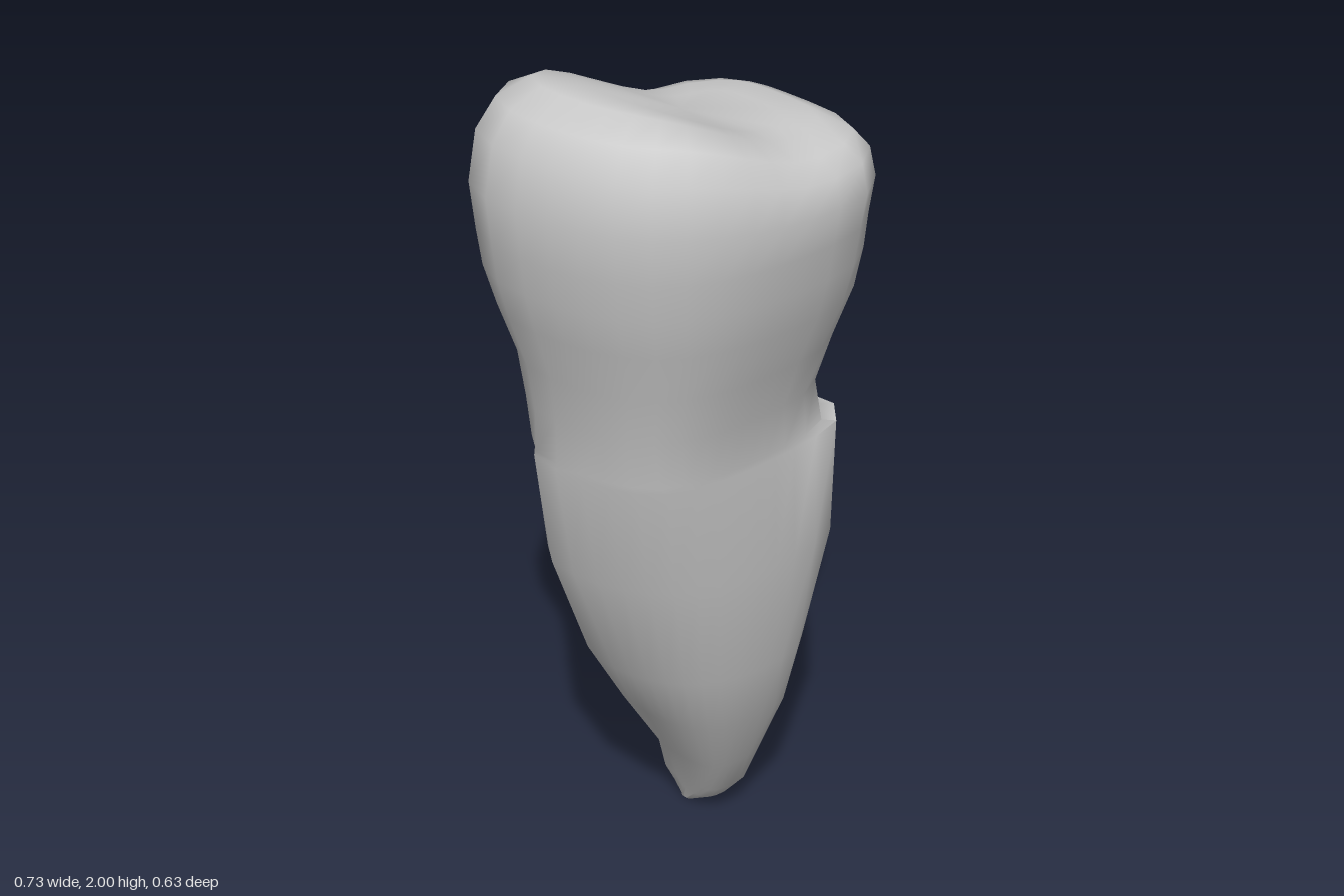
import * as THREE from 'three';
import { toCreasedNormals } from 'three/addons/utils/BufferGeometryUtils.js';

const SIDES = 28;
const { smoothstep } = THREE.MathUtils;

// Rounded outline inside a box, with its two (x - z) diagonal corners trimmed.
function outline([y, x0, x1, z0, z1, dMin, dMax]) {
  const cx = (x0 + x1) / 2, cz = (z0 + z1) / 2, p = 4.5, s = Math.SQRT1_2;
  const hx = (x1 - x0) / 2, hz = (z1 - z0) / 2;
  const dHi = Math.max((dMax - cx + cz) * s, 0.01), dLo = Math.max((cx - cz - dMin) * s, 0.01);
  const points = [];
  for (let i = 0; i < SIDES; i++) {
    const a = (i / SIDES) * Math.PI * 2, c = Math.cos(a), n = Math.sin(a), d = (c - n) * s;
    const sum = Math.abs(c / hx) ** p + Math.abs(n / hz) ** p + Math.abs(d / (d > 0 ? dHi : dLo)) ** p;
    const r = sum ** (-1 / p);
    points.push(new THREE.Vector3(r * c, y, r * n));
  }
  // Stretch back to the exact box
  const xs = points.map(q => q.x), zs = points.map(q => q.z);
  const px = hx / Math.max(...xs), nx = -hx / Math.min(...xs);
  const pz = hz / Math.max(...zs), nz = -hz / Math.min(...zs);
  points.forEach(q => {
    q.x = cx + q.x * (q.x > 0 ? px : nx);
    q.z = cz + q.z * (q.z > 0 ? pz : nz);
  });
  return points;
}

// Closed skin through outlines ordered from bottom to top.
function loft(rows, bend) {
  const rings = rows.map(outline), pos = [], index = [];
  const add = q => { bend?.(q); pos.push(q.x, q.y, q.z); };
  const middle = ring => ring.reduce((m, q) => m.add(q), new THREE.Vector3()).divideScalar(SIDES);
  const bottom = middle(rings[0]), top = middle(rings.at(-1));
  rings.flat().forEach(add);
  add(bottom);
  add(top);
  const count = rings.length * SIDES, last = count - SIDES;
  for (let j = 0; j < SIDES; j++) {
    const k = (j + 1) % SIDES;
    for (let i = 0; i < last; i += SIDES) {
      index.push(i + j, i + SIDES + j, i + k, i + k, i + SIDES + j, i + SIDES + k);
    }
    index.push(count, j, k, count + 1, last + k, last + j);
  }
  const geometry = new THREE.BufferGeometry();
  geometry.setAttribute('position', new THREE.Float32BufferAttribute(pos, 3));
  geometry.setIndex(index);
  return toCreasedNormals(geometry, 1.1);
}

export function createModel() {
  const group = new THREE.Group();
  group.name = 'tooth';
  const material = new THREE.MeshStandardMaterial({ color: 0xcccccc, side: THREE.DoubleSide });

  // Each row: y, x min, x max, z min, z max, (x - z) min, (x - z) max
  const rootRows = [
    [0.00, 0.28, 0.31, -0.29, -0.26, 0.53, 0.61],
    [0.05, 0.26, 0.345, -0.305, -0.18, 0.45, 0.63],
    [0.10, 0.235, 0.362, -0.314, -0.14, 0.38, 0.62],
    [0.22, 0.18, 0.352, -0.285, -0.08, 0.28, 0.57],
    [0.42, 0.05, 0.337, -0.28, 0.02, 0.10, 0.50],
    [0.60, -0.06, 0.337, -0.275, 0.08, -0.01, 0.47],
    [0.90, -0.18, 0.36, -0.272, 0.14, -0.17, 0.46],
    [1.18, -0.235, 0.35, -0.25, 0.16, -0.30, 0.38]
  ];
  // Neck above the chipped ledge, then the crown with its rounded rim
  const crownRows = [
    [1.195, -0.235, 0.30, -0.25, 0.16, -0.30, 0.37],
    [1.31, -0.255, 0.25, -0.235, 0.185, -0.33, 0.29],
    [1.42, -0.28, 0.26, -0.23, 0.22, -0.37, 0.24],
    [1.53, -0.315, 0.28, -0.25, 0.26, -0.42, 0.23],
    [1.62, -0.34, 0.287, -0.265, 0.285, -0.46, 0.36],
    [1.70, -0.352, 0.288, -0.27, 0.30, -0.48, 0.55],
    [1.80, -0.365, 0.29, -0.272, 0.315, -0.51, 0.68],
    [1.90, -0.345, 0.285, -0.268, 0.30, -0.50, 0.66],
    [1.96, -0.31, 0.265, -0.24, 0.265, -0.45, 0.60],
    [1.995, -0.25, 0.22, -0.19, 0.20, -0.34, 0.45],
    [2.00, -0.18, 0.16, -0.13, 0.15, -0.24, 0.30]
  ];
  const shapeCrown = q => {
    // Flattened back face towards the left side
    if (q.z < 0) {
      q.z += 0.065 * smoothstep(q.x, -0.15, 0.05) * smoothstep(q.y, 1.55, 1.75) * Math.min(1, -q.z / 0.15);
    }
    // The biting surface drops towards the left side
    q.y -= Math.max(0, q.y - 1.75) / 0.25 * 0.11 * smoothstep(q.x, -0.25, 0.1);
  };
  const body = new THREE.Mesh(loft([...rootRows, ...crownRows], shapeCrown), material);
  body.name = 'crownAndRoot';
  group.add(body);

  // Pointed spur hanging from the back left corner of the crown
  const spurRows = [
    [1.31, 0.215, 0.245, -0.17, -0.12, 0.33, 0.41],
    [1.36, 0.20, 0.26, -0.175, -0.105, 0.31, 0.41],
    [1.46, 0.18, 0.28, -0.18, -0.085, 0.27, 0.42],
    [1.56, 0.14, 0.288, -0.18, -0.065, 0.22, 0.42],
    [1.66, 0.08, 0.285, -0.178, -0.03, 0.13, 0.41],
    [1.76, 0.02, 0.27, -0.165, 0.0, 0.05, 0.38]
  ];
  const spur = new THREE.Mesh(loft(spurRows), material);
  spur.name = 'crownSpur';
  group.add(spur);

  return group;
}
